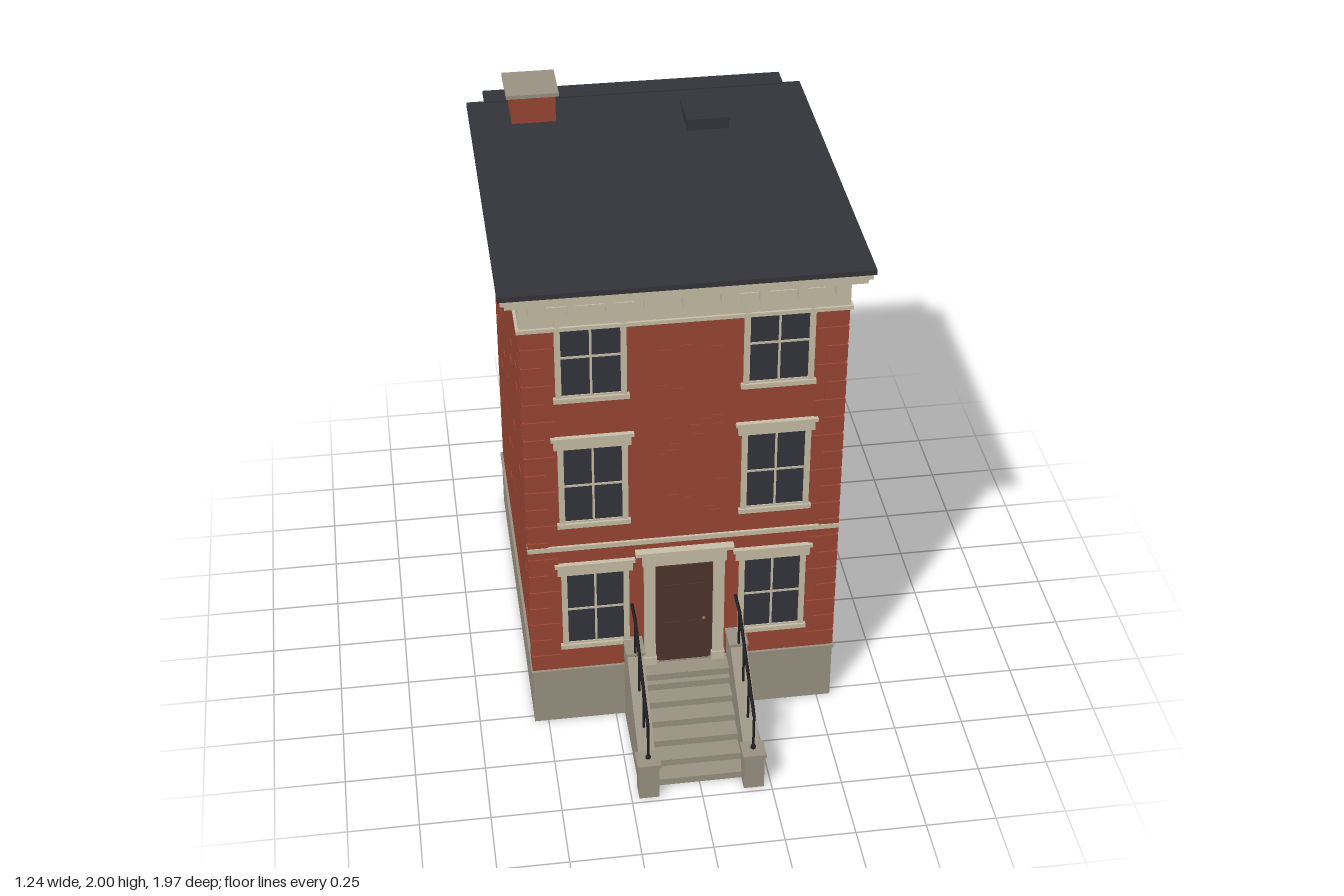
import * as THREE from 'three';

const mat = (name, color) => {
  const m = new THREE.MeshStandardMaterial({ color });
  m.name = name;
  return m;
};

export function createModel() {
  const house = new THREE.Group();
  house.name = 'townhouse';
  const brick = mat('brick red', 0x9c4633);
  const darkBrick = mat('weathered brick', 0x8f3f2e);
  const trim = mat('cream trim', 0xc9c0a8);
  const stone = mat('grey stone', 0x9c9484);
  const roofing = mat('dark roofing', 0x34343b);
  const glass = mat('window glass', 0x34343e);
  const wood = mat('brown door', 0x50362d);
  const iron = mat('black iron', 0x1f1f22);
  const brass = mat('brass', 0x8a6d3a);

  // Box given by its limits on each axis
  const box = (name, m, x0, x1, y0, y1, z0, z1, parent = house) => {
    const b = new THREE.Mesh(new THREE.BoxGeometry(x1 - x0, y1 - y0, z1 - z0), m);
    b.position.set((x0 + x1) / 2, (y0 + y1) / 2, (z0 + z1) / 2);
    b.name = name;
    parent.add(b);
    return b;
  };
  const group = (name, parent = house) => {
    const g = new THREE.Group();
    g.name = name;
    parent.add(g);
    return g;
  };

  const F = 0.525, B = -0.825, W = 0.545; // wall planes

  // Main masses
  box('foundation', stone, -0.55, 0.55, 0, 0.23, -0.83, 0.53);
  box('waterTable', stone, -0.555, 0.555, 0.228, 0.24, -0.835, 0.535);
  box('walls', brick, -W, W, 0.24, 1.86, B, F);
  box('backParapet', brick, -W - 0.002, W + 0.002, 1.815, 1.872, -0.83, -0.757);
  box('parapetCoping', roofing, -0.555, 0.555, 1.87, 1.885, -0.84, -0.75);
  box('backStoop', stone, 0.18, 0.465, 0, 0.24, -0.985, -0.82);
  box('stringCourse', trim, -0.552, 0.552, 0.785, 0.803, 0.5, 0.535);

  // Corner quoins, long and short in turn
  const quoins = group('quoins');
  for (let i = 0; i < 20; i++) {
    const y = 0.246 + i * 0.0733, long = i % 2 === 0;
    const wx = long ? 0.106 : 0.072, wz = long ? 0.075 : 0.107;
    for (const s of [-1, 1]) {
      const a = s * 0.551, b = s * (0.551 - wx);
      box('quoin', brick, Math.min(a, b), Math.max(a, b), y, y + 0.064, 0.531 - wz, 0.531, quoins);
    }
  }

  // Scattered proud bricks on front and sides
  const bricks = group('proudBricks');
  let seed = 7;
  const rnd = () => (seed = (seed * 16807) % 2147483647) / 2147483647;
  for (let i = 0; i < 34; i++) {
    const y = 0.3 + rnd() * 1.35;
    for (const s of [-1, 1]) {
      const z = -0.75 + rnd() * 1.1;
      const x = s * (W + 0.001);
      box('proudBrick', i % 3 ? brick : darkBrick, x - 0.002, x + 0.002, y, y + 0.014, z, z + 0.045, bricks);
    }
    if (i < 20) {
      const x = -0.15 + rnd() * 0.26, yf = 0.85 + rnd() * 0.8;
      box('proudBrick', brick, x, x + 0.04, yf, yf + 0.014, F, F + 0.003, bricks);
    }
  }

  // Cornice: frieze, crown and brackets on front and sides
  const cornice = group('cornice');
  const tier = (name, m, x, y0, y1, z, back = -0.757) => box(name, m, -x, x, y0, y1, back, z, cornice);
  tier('friezeMoulding', trim, 0.561, 1.7, 1.714, 0.54);
  tier('frieze', trim, 0.552, 1.712, 1.825, 0.531);
  tier('lowerCrown', trim, 0.597, 1.82, 1.842, 0.575);
  tier('upperCrown', trim, 0.611, 1.84, 1.862, 0.585);
  tier('roof', roofing, 0.62, 1.861, 1.88, 0.592, -0.765);
  for (let i = -4; i <= 4; i++) {
    const x = i * 0.127;
    box('frontBracket', trim, x - 0.014, x + 0.014, 1.775, 1.822, 0.52, 0.568, cornice);
  }
  for (const z of [0.46, 0.27, 0.08, -0.11])
    for (const s of [-1, 1]) {
      const x = s * 0.565;
      box('sideBracket', trim, x - 0.025, x + 0.025, 1.775, 1.822, z - 0.014, z + 0.014, cornice);
    }

  // Window built facing +z at the origin, standing on its sill
  const makeWindow = (name, w, h, hood) => {
    const g = group(name), f = hood ? 0.02 : 0.012, d = 0.011;
    const a = w / 2;
    box('glass', glass, -a, a, 0, h, -0.004, 0.003, g);
    for (const s of [-1, 1]) box('jamb', trim, s * (a + f / 2) - f / 2, s * (a + f / 2) + f / 2, 0, h, -0.005, d, g);
    box('mullion', trim, -0.004, 0.004, 0, h, 0, 0.006, g);
    box('glazingBar', trim, -a, a, h / 2 - 0.004, h / 2 + 0.004, 0, 0.006, g);
    box('bottomRail', trim, -a, a, 0, 0.007, 0, 0.007, g);
    box('sill', trim, -a - f - 0.008, a + f + 0.008, -0.018, 0, -0.005, 0.016, g);
    if (hood) {
      box('lintel', trim, -a - 0.033, a + 0.033, h, h + 0.037, -0.005, 0.012, g);
      box('hoodCap', trim, -a - 0.042, a + 0.042, h + 0.037, h + 0.05, -0.005, 0.018, g);
    } else box('headRail', trim, -a - f, a + f, h, h + 0.012, -0.005, d, g);
    return g;
  };
  for (const s of [-1, 1]) {
    [[0.36, 0.315], [0.905, 0.315], [1.432, 0.315]].forEach(([y, h]) =>
      makeWindow('frontWindow', 0.2, h, true).position.set(s * 0.317, y, F));
    for (const y of [0.905, 1.432]) {
      const w = makeWindow('backWindow', 0.16, 0.27, false);
      w.position.set(s * 0.32, y, B);
      w.rotation.y = Math.PI;
    }
  }

  // Front door with pilasters and entablature
  const entry = group('frontEntry');
  box('doorSurround', wood, -0.106, 0.106, 0.235, 0.69, 0.52, 0.529, entry);
  box('frontDoor', wood, -0.09, 0.09, 0.24, 0.675, 0.525, 0.533, entry);
  for (const s of [-1, 1]) {
    for (const [y0, y1] of [[0.29, 0.42], [0.46, 0.59]])
      box('doorPanel', wood, s * 0.042 - 0.027, s * 0.042 + 0.027, y0, y1, 0.53, 0.536, entry);
    box('pilaster', trim, s * 0.124 - 0.02, s * 0.124 + 0.02, 0.24, 0.695, 0.52, 0.543, entry);
    box('pilasterBase', trim, s * 0.124 - 0.024, s * 0.124 + 0.024, 0.235, 0.27, 0.52, 0.547, entry);
  }
  box('entablature', trim, -0.15, 0.15, 0.69, 0.743, 0.52, 0.545, entry);
  box('entryCap', trim, -0.175, 0.175, 0.743, 0.757, 0.52, 0.556, entry);
  const knob = new THREE.Mesh(new THREE.SphereGeometry(0.007, 10, 8), brass);
  knob.name = 'doorKnob';
  knob.position.set(0.072, 0.43, 0.539);
  entry.add(knob);

  // Back door
  box('backDoor', wood, 0.23, 0.41, 0.24, 0.62, B - 0.005, B + 0.005);

  // Front steps and landing
  const stoop = group('frontStoop');
  [0.93, 0.87, 0.805, 0.74, 0.675, 0.615, 0.6].forEach((z, i) => {
    const top = 0.0335 * (i + 1);
    box('step', stone, -0.16, 0.16, 0, top - 0.008, 0.525, z - 0.006, stoop);
    box('tread', stone, -0.158, 0.158, top - 0.009, top, 0.525, z, stoop);
  });

  // Sloped side walls, newels and railings
  const side = new THREE.Shape([[0.525, 0], [0.92, 0], [0.92, 0.14], [0.61, 0.35], [0.525, 0.35]]
    .map(([z, y]) => new THREE.Vector2(-z, y)));
  const sideGeo = new THREE.ExtrudeGeometry(side, { depth: 0.06, bevelEnabled: false });
  const rod = (name, a, b, r, parent) => {
    const p = new THREE.Vector3(...a), q = new THREE.Vector3(...b), d = q.clone().sub(p);
    const m = new THREE.Mesh(new THREE.CylinderGeometry(r, r, d.length(), 8), iron);
    m.position.copy(p).add(q).multiplyScalar(0.5);
    m.quaternion.setFromUnitVectors(new THREE.Vector3(0, 1, 0), d.normalize());
    m.name = name;
    parent.add(m);
  };
  for (const s of [-1, 1]) {
    const x = s * 0.187;
    const wall = new THREE.Mesh(sideGeo, stone);
    wall.name = 'stairSideWall';
    wall.rotation.y = Math.PI / 2;
    wall.position.x = x - 0.03;
    stoop.add(wall);
    box('topCap', stone, x - 0.035, x + 0.035, 0.347, 0.36, 0.525, 0.62, stoop);
    box('newel', stone, x - 0.036, x + 0.036, 0, 0.143, 0.913, 0.98, stoop);
    box('newelCap', stone, x - 0.042, x + 0.042, 0.141, 0.155, 0.907, 0.985, stoop);
    const rail = group('railing', stoop);
    rod('slopedRail', [x, 0.305, 0.945], [x, 0.51, 0.615], 0.006, rail);
    rod('levelRail', [x, 0.51, 0.618], [x, 0.51, 0.525], 0.006, rail);
    for (const [z, y0, y1] of [[0.945, 0.15, 0.305], [0.83, 0.19, 0.376], [0.72, 0.265, 0.445], [0.615, 0.345, 0.51]])
      rod('baluster', [x, y0, z], [x, y1, z], 0.0045, rail);
    const ball = new THREE.Mesh(new THREE.SphereGeometry(0.01, 10, 8), iron);
    ball.name = 'postFoot';
    ball.position.set(x, 0.163, 0.945);
    rail.add(ball);
  }

  // Chimney and roof hatch
  box('chimney', brick, -0.47, -0.31, 1.87, 1.988, -0.73, -0.575);
  box('chimneyCap', stone, -0.488, -0.298, 1.986, 2, -0.748, -0.56);
  box('roofHatch', roofing, 0.15, 0.3, 1.875, 1.917, -0.585, -0.435);
  box('hatchLid', roofing, 0.145, 0.305, 1.915, 1.927, -0.59, -0.43);

  return house;
}
